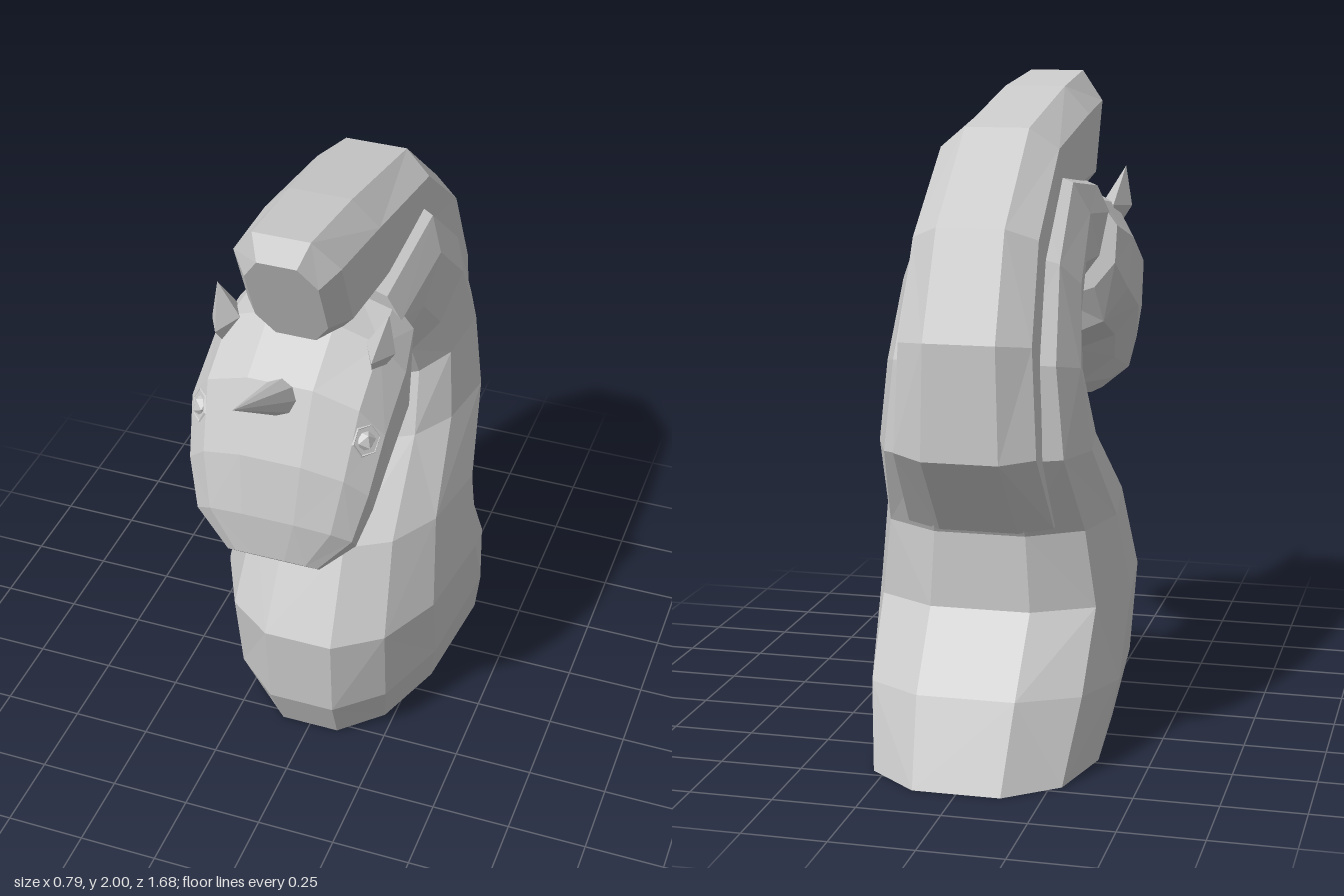
import * as THREE from 'three';

const grey = new THREE.MeshStandardMaterial({ color: 0xcccccc, flatShading: true });

// Loft through rings [innerZ, innerY, outerZ, outerY, halfWidth]; each ring is a squared oval,
// wider on its outer side by the taper. The number of sides is a multiple of four.
function loft(name, rings, sides, power, taper) {
  const pos = [], idx = [];
  const norm = Math.pow(Math.cos(Math.PI / sides), power);
  const curve = (v) => (Math.sign(v) * Math.pow(Math.abs(v), power)) / norm;
  for (const [iz, iy, oz, oy, w] of rings) {
    for (let k = 0; k < sides; k++) {
      const t = ((k + 0.5) / sides) * Math.PI * 2;
      const c = curve(Math.cos(t)), s = curve(Math.sin(t)) * (1 + taper * c);
      pos.push(w * s, (iy + oy) / 2 + ((oy - iy) / 2) * c, (iz + oz) / 2 + ((oz - iz) / 2) * c);
    }
  }
  for (let i = 0; i < rings.length - 1; i++) {
    for (let k = 0; k < sides; k++) {
      const n = (k + 1) % sides;
      const a = i * sides + k, b = i * sides + n, c = b + sides, d = a + sides;
      if ((i + k) % 2) idx.push(a, d, b, b, d, c);
      else idx.push(a, d, c, a, c, b);
    }
  }
  // End caps
  const last = (rings.length - 1) * sides;
  for (let k = 1; k < sides - 1; k++) {
    idx.push(0, k, k + 1, last, last + k + 1, last + k);
  }
  const indexed = new THREE.BufferGeometry();
  indexed.setAttribute('position', new THREE.Float32BufferAttribute(pos, 3));
  indexed.setIndex(idx);
  const geo = indexed.toNonIndexed();
  geo.computeVertexNormals();
  const mesh = new THREE.Mesh(geo, grey);
  mesh.name = name;
  return mesh;
}

export function createModel() {
  const model = new THREE.Group();
  model.name = 'unicornBust';

  // Chest and arched neck, from the flared base up and over to the head
  model.add(loft('bodyAndNeck', [
    [0.28, 0, -0.84, 0, 0.325],
    [0.36, 0.17, -0.73, 0.25, 0.365],
    [0.385, 0.46, -0.56, 0.47, 0.375],
    [0.23, 0.75, -0.56, 0.7, 0.34],
    [-0.07, 0.96, -0.7, 0.95, 0.305],
    [-0.18, 1.13, -0.67, 1.23, 0.275],
    [-0.15, 1.21, -0.535, 1.53, 0.255],
    [-0.07, 1.31, -0.28, 1.755, 0.24],
    [0.1, 1.32, 0.15, 1.7, 0.23],
  ], 12, 0.8, 0.16));

  // Mane, from the nape to the overhanging forelock
  model.add(loft('mane', [
    [-0.45, 0.77, -0.57, 0.71, 0.22],
    [-0.54, 1.0, -0.785, 0.96, 0.21],
    [-0.5, 1.25, -0.785, 1.3, 0.195],
    [-0.4, 1.45, -0.65, 1.61, 0.185],
    [-0.2, 1.6, -0.34, 1.87, 0.18],
    [0.1, 1.6, 0.15, 1.965, 0.175],
    [0.28, 1.59, 0.46, 2.0, 0.16],
    [0.36, 1.61, 0.5, 1.93, 0.11],
  ], 8, 0.7, 0));

  // Head, from the cheeks to the muzzle
  model.add(loft('head', [
    [0.1, 1.3, 0.11, 1.66, 0.27],
    [0.14, 1.17, 0.31, 1.645, 0.295],
    [0.33, 1.1, 0.49, 1.53, 0.295],
    [0.4, 1.03, 0.58, 1.32, 0.275],
    [0.46, 0.96, 0.612, 1.13, 0.24],
    [0.53, 0.91, 0.605, 0.98, 0.14],
  ], 12, 0.85, 0.03));

  // Horn
  const base = new THREE.Vector3(0, 1.465, 0.45), tip = new THREE.Vector3(0, 1.68, 0.84);
  const axis = tip.clone().sub(base);
  const horn = new THREE.Mesh(new THREE.ConeGeometry(0.062, axis.length(), 8), grey);
  horn.name = 'horn';
  horn.position.copy(base).lerp(tip, 0.5);
  horn.quaternion.setFromUnitVectors(new THREE.Vector3(0, 1, 0), axis.normalize());
  model.add(horn);

  for (const side of [1, -1]) {
    const label = side > 0 ? 'left' : 'right';

    // Leaf-shaped ear
    const ear = new THREE.Mesh(new THREE.OctahedronGeometry(1), grey);
    ear.name = label + 'Ear';
    ear.scale.set(0.045, 0.12, 0.085);
    ear.position.set(side * 0.238, 1.59, 0.305);
    ear.rotation.z = -side * 0.2;
    model.add(ear);

    // Eye: faceted lid around a small eyeball
    const eye = new THREE.Group();
    eye.name = label + 'Eye';
    const lid = new THREE.Mesh(new THREE.TorusGeometry(0.043, 0.014, 4, 6), grey);
    lid.name = label + 'Eyelid';
    const ball = new THREE.Mesh(new THREE.IcosahedronGeometry(0.033, 0), grey);
    ball.name = label + 'Eyeball';
    eye.add(lid, ball);
    eye.scale.y = 1.15;
    eye.position.set(side * 0.248, 1.385, 0.472);
    eye.rotation.set(-0.25, side * 0.85, 0, 'YXZ');
    model.add(eye);
  }
  return model;
}
